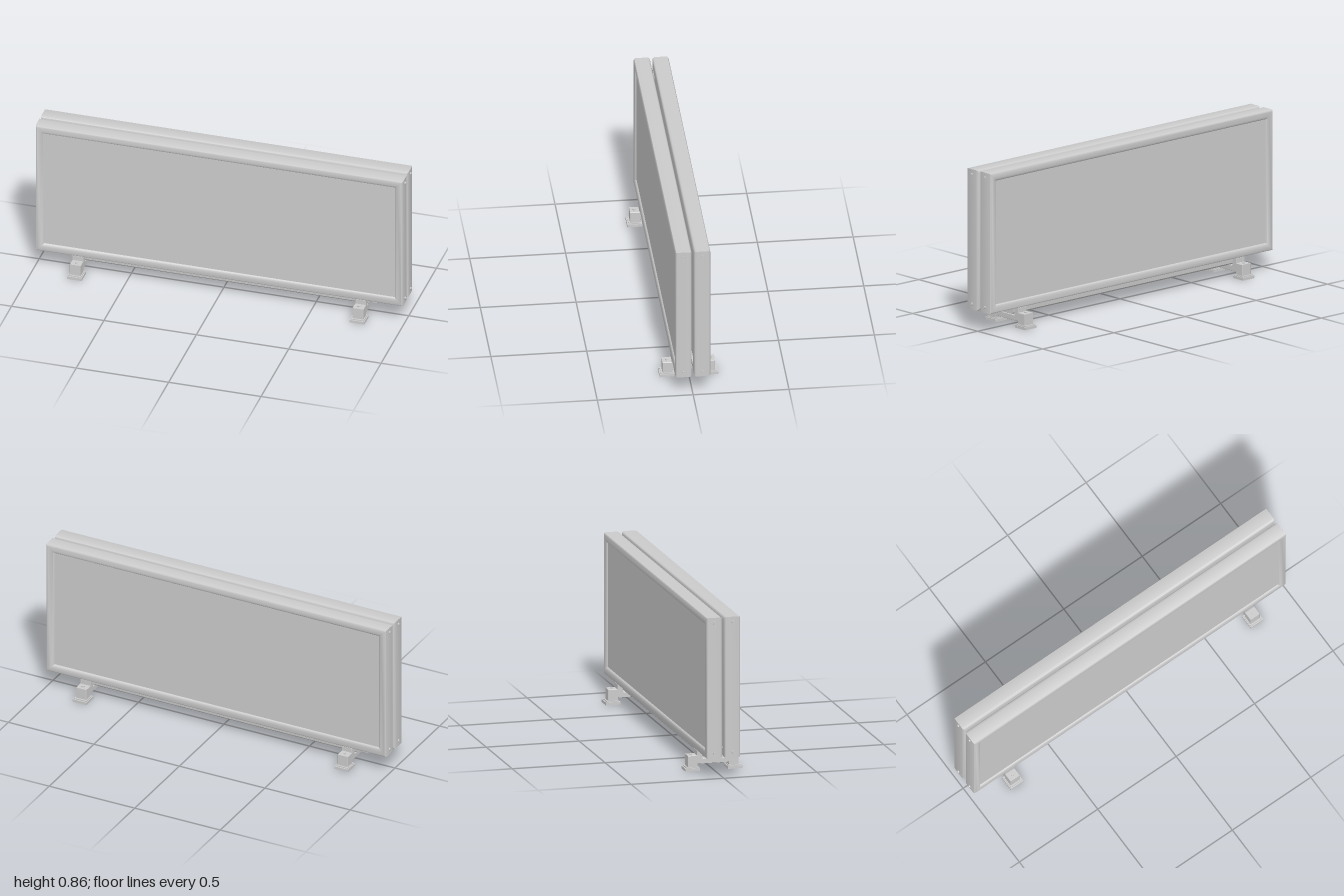
import * as THREE from 'three';
import { toCreasedNormals } from 'three/addons/utils/BufferGeometryUtils.js';

const grey = new THREE.MeshStandardMaterial({ color: 0xcccccc });

function add(parent, name, geometry, x = 0, y = 0, z = 0) {
  const mesh = new THREE.Mesh(geometry, grey);
  mesh.name = name;
  mesh.position.set(x, y, z);
  parent.add(mesh);
  return mesh;
}

// Mitred rectangular frame: profile points are [inset from outer edge, z]
function frameGeometry(halfW, halfH, profile) {
  const corners = [[-1, -1], [1, -1], [1, 1], [-1, 1]];
  const positions = [];
  const point = ([sx, sy], [inset, z]) => [sx * (halfW - inset), sy * (halfH - inset), z];
  corners.forEach((c, i) => {
    const next = corners[(i + 1) % 4];
    profile.forEach((p, j) => {
      const q = profile[(j + 1) % profile.length];
      const a = point(c, p), b = point(next, p), d = point(c, q), e = point(next, q);
      positions.push(...a, ...b, ...e, ...a, ...e, ...d);
    });
  });
  const geo = new THREE.BufferGeometry();
  geo.setAttribute('position', new THREE.Float32BufferAttribute(positions, 3));
  return toCreasedNormals(geo, 0.6);
}

// Profile drawn in (z, y), extruded along x and centred
function extrudeAlongX(points, width, bevel = 0) {
  const shape = new THREE.Shape(points.map(([z, y]) => new THREE.Vector2(z, y)));
  const depth = width - 2 * bevel;
  const geo = new THREE.ExtrudeGeometry(shape, {
    depth, bevelEnabled: bevel > 0, bevelSize: bevel, bevelOffset: -bevel,
    bevelThickness: bevel, bevelSegments: 1,
  });
  geo.translate(0, 0, -depth / 2);
  geo.rotateY(-Math.PI / 2);
  return geo;
}

function createPanel() {
  const panel = new THREE.Group();
  panel.name = 'displayPanel';
  // Rounded frame section, from the back inner edge round to the front inner edge
  const profile = [
    [0.045, 0.005], [0.016, 0.005], [0.006, 0.008], [0.001, 0.014], [0, 0.02],
    [0, 0.081], [0.002, 0.087], [0.008, 0.091], [0.03, 0.091], [0.04, 0.087], [0.045, 0.08],
  ];
  add(panel, 'frame', frameGeometry(0.994, 0.376, profile), 0, 0.481, 0);
  add(panel, 'screen', new THREE.BoxGeometry(1.91, 0.67, 0.066), 0, 0.481, 0.047);

  // Corner screws on both ends
  for (const side of [-1, 1]) for (const y of [0.136, 0.83]) {
    const screw = new THREE.CylinderGeometry(0.007, 0.009, 0.012, 6);
    screw.rotateZ(-side * Math.PI / 2);
    add(panel, 'frameScrew', screw, side * 0.994, y, 0.05);
  }
  return panel;
}

function createFoot() {
  const foot = new THREE.Group();
  foot.name = 'foot';
  // Bridge with a cradle for the rail and an arch between the pads
  const half = [[0.056, 0.062], [0.062, 0.106], [0.088, 0.106], [0.088, 0.08],
    [0.137, 0.08], [0.137, 0.016], [0.085, 0.016], [0.083, 0.034]];
  const outline = [...half, ...half.map(([z, y]) => [-z, y]).reverse()];
  add(foot, 'bridge', extrudeAlongX(outline, 0.06, 0.002));

  for (const s of [-1, 1]) {
    add(foot, 'pad', new THREE.BoxGeometry(0.08, 0.015, 0.078), 0, 0.0075, s * 0.114);
    add(foot, 'padStep', new THREE.BoxGeometry(0.07, 0.006, 0.066), 0, 0.017, s * 0.113);
    add(foot, 'bolt', new THREE.CylinderGeometry(0.007, 0.007, 0.008, 6), 0, 0.081, s * 0.114);
  }
  return foot;
}

export function createModel() {
  const model = new THREE.Group();
  model.name = 'doubleSidedSign';

  // Two back-to-back panels
  const front = createPanel();
  const back = createPanel();
  back.rotation.y = Math.PI;
  model.add(front, back);

  // Support rail under the panels
  const rail = [[-0.057, 0.106], [-0.055, 0.075], [-0.046, 0.066], [0.046, 0.066],
    [0.055, 0.075], [0.057, 0.106]];
  add(model, 'rail', extrudeAlongX(rail, 1.6));

  for (const side of [-1, 1]) {
    const foot = createFoot();
    foot.position.x = side * 0.765;
    model.add(foot);
  }
  return model;
}
